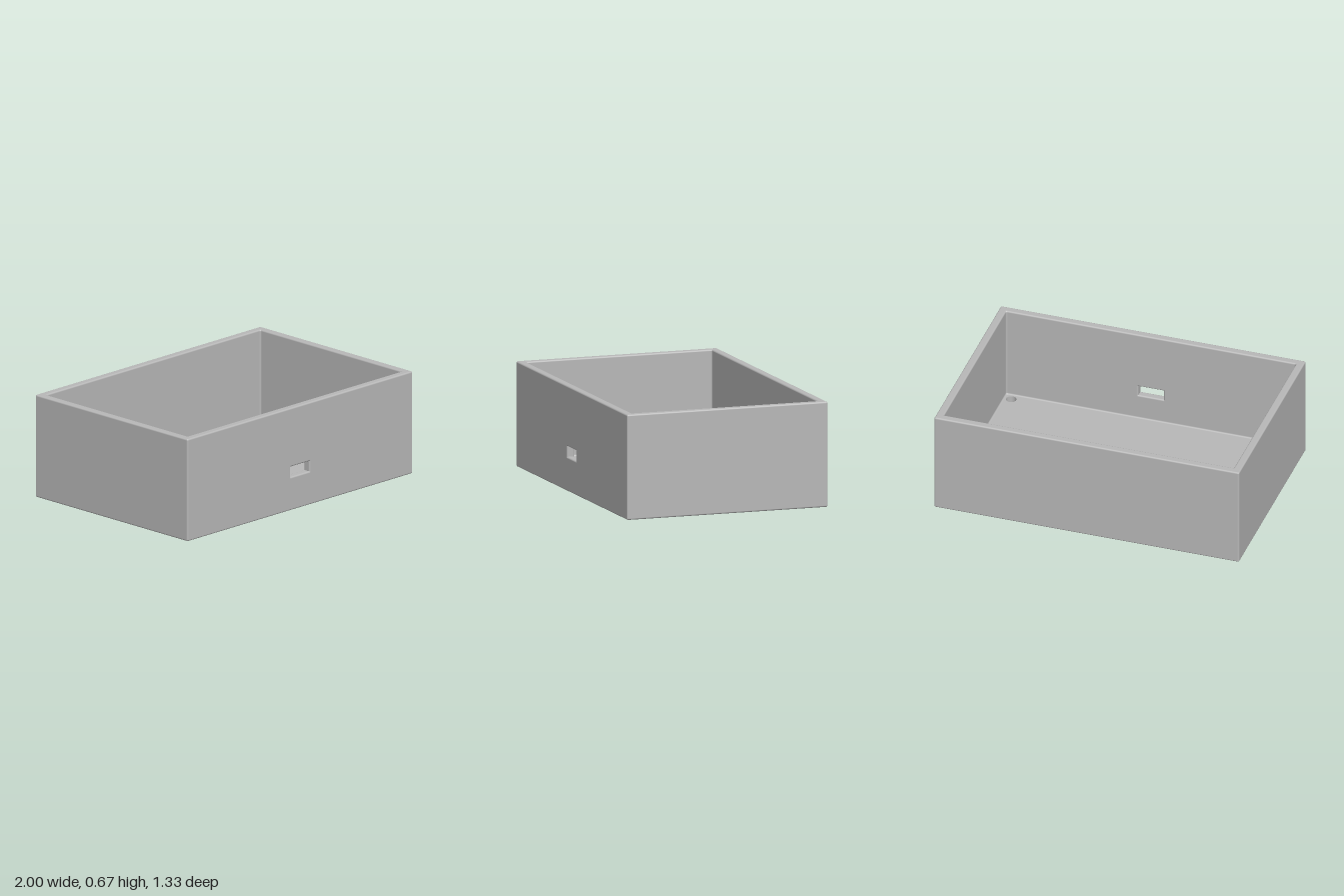
import * as THREE from 'three';

const W = 2, H = 0.667, D = 1.333;   // outer size
const T = 0.05, F = 0.01;            // wall thickness, edge rounding
const HOLE_R = 0.033, HOLE_X = 0.9, HOLE_Z = 0.567;
const SLOT_W = 0.167, SLOT_H = 0.067, SLOT_Y = 0.25;

// Rounded rectangle as points [x, z, normalX, normalZ]
function ring(w, d, r, steps) {
  const points = [];
  for (let k = 0; k < 4; k++) {
    const sx = k === 0 || k === 3 ? 1 : -1, sz = k < 2 ? 1 : -1;
    for (let i = 0; i <= steps; i++) {
      const a = (k + i / steps) * Math.PI / 2, c = Math.cos(a), s = Math.sin(a);
      points.push([sx * (w / 2 - r) + c * r, sz * (d / 2 - r) + s * r, c, s]);
    }
  }
  return points;
}

// Profile arc: points {offset, y} with the surface normal {nr, ny}
function arc(offset, y, radius, from, to, steps = 5) {
  return Array.from({ length: steps + 1 }, (_, i) => {
    const a = THREE.MathUtils.degToRad(from + (to - from) * i / steps);
    return { offset: offset + radius * Math.cos(a), y: y + radius * Math.sin(a), nr: Math.cos(a), ny: Math.sin(a) };
  });
}

// Sweep a profile around a rounded rectangle, with exact normals
function loft(w, d, profile, cornerRadius, steps, skip = () => false) {
  const pos = [], nor = [], index = [], n = 4 * (steps + 1);
  profile.forEach((p, i) => {
    ring(w + 2 * p.offset, d + 2 * p.offset, cornerRadius(p.offset), steps).forEach(([x, z, nx, nz], j) => {
      pos.push(x, p.y, z);
      nor.push(nx * p.nr, p.ny, nz * p.nr);
      if (i + 1 === profile.length || skip(i, j)) return;
      const a = i * n + j, b = i * n + (j + 1) % n;
      index.push(a, a + n, b, b, a + n, b + n);
    });
  });
  const g = new THREE.BufferGeometry();
  g.setAttribute('position', new THREE.Float32BufferAttribute(pos, 3));
  g.setAttribute('normal', new THREE.Float32BufferAttribute(nor, 3));
  g.setIndex(index);
  return g;
}

// Flat rectangle with cut-outs
function plate(x, y0, y1, holes) {
  const shape = new THREE.Shape([[-x, y0], [x, y0], [x, y1], [-x, y1]].map(p => new THREE.Vector2(...p)));
  for (const { w, h, r, x: cx, y: cy } of holes) {
    shape.holes.push(new THREE.Path(ring(w, h, r, 8).map(p => new THREE.Vector2(p[0] + cx, p[1] + cy))));
  }
  return new THREE.ShapeGeometry(shape);
}

export function createModel() {
  const group = new THREE.Group();
  const grey = new THREE.MeshStandardMaterial({ color: 0xb8b8b8 });
  grey.name = 'grey';
  const add = (name, geometry, x = 0, y = 0, z = 0) => {
    const mesh = new THREE.Mesh(geometry, grey);
    mesh.name = name;
    mesh.position.set(x, y, z);
    group.add(mesh);
  };

  // Walls: outside, rounded rim, inside and the fillet at the floor
  const floorFillet = arc(-T - F, T + F, -F, 180, 90);
  const profile = [
    ...arc(-F, F, F, -90, 0), ...arc(-F, H - F, F, 0, 90),
    ...arc(-T + F, H - F, F, 90, 180), ...floorFillet,
  ];
  // The front's flat areas are left open for the slotted panels
  const steps = 5;
  const isFrontFlat = (i, j) => j === steps && (i === 5 || i === 17);
  add('walls', loft(W, D, profile, o => Math.min(F, Math.abs(o + F)), steps, isFrontFlat));

  // Front panels
  const slot = [{ w: SLOT_W + 2 * F, h: SLOT_H + 2 * F, r: F, x: 0, y: SLOT_Y }];
  add('frontOuterPanel', plate(W / 2 - F, F, H - F, slot), 0, 0, D / 2);
  add('frontInnerPanel', plate(W / 2 - T - F, T + F, H - F, slot).rotateY(Math.PI), 0, 0, D / 2 - T);

  // Slot through the front wall, with rounded lips
  const slotProfile = [...arc(F, T - F, F, 90, 180), ...arc(F, F, F, 180, 270)];
  add('frontSlot', loft(SLOT_W, SLOT_H, slotProfile, o => Math.max(o, 0), 8).rotateX(Math.PI / 2), 0, SLOT_Y, D / 2 - T);

  // Floor with four screw holes
  const holes = [];
  for (const sx of [-1, 1]) for (const sz of [-1, 1]) {
    holes.push({ w: 2 * HOLE_R, h: 2 * HOLE_R, r: HOLE_R, x: sx * HOLE_X, y: sz * HOLE_Z });
  }
  const fx = W / 2 - T - F, fz = D / 2 - T - F;
  add('floorTop', plate(fx, -fz, fz, holes).rotateX(-Math.PI / 2), 0, T, 0);
  add('floorUnderside', plate(W / 2 - F, -D / 2 + F, D / 2 - F, holes).rotateX(Math.PI / 2));
  const bore = [{ offset: 0, y: T, nr: -1, ny: 0 }, { offset: 0, y: 0, nr: -1, ny: 0 }];
  for (const { x, y } of holes) {
    add('screwHole', loft(2 * HOLE_R, 2 * HOLE_R, bore, () => HOLE_R, 8), x, 0, y);
  }
  return group;
}
